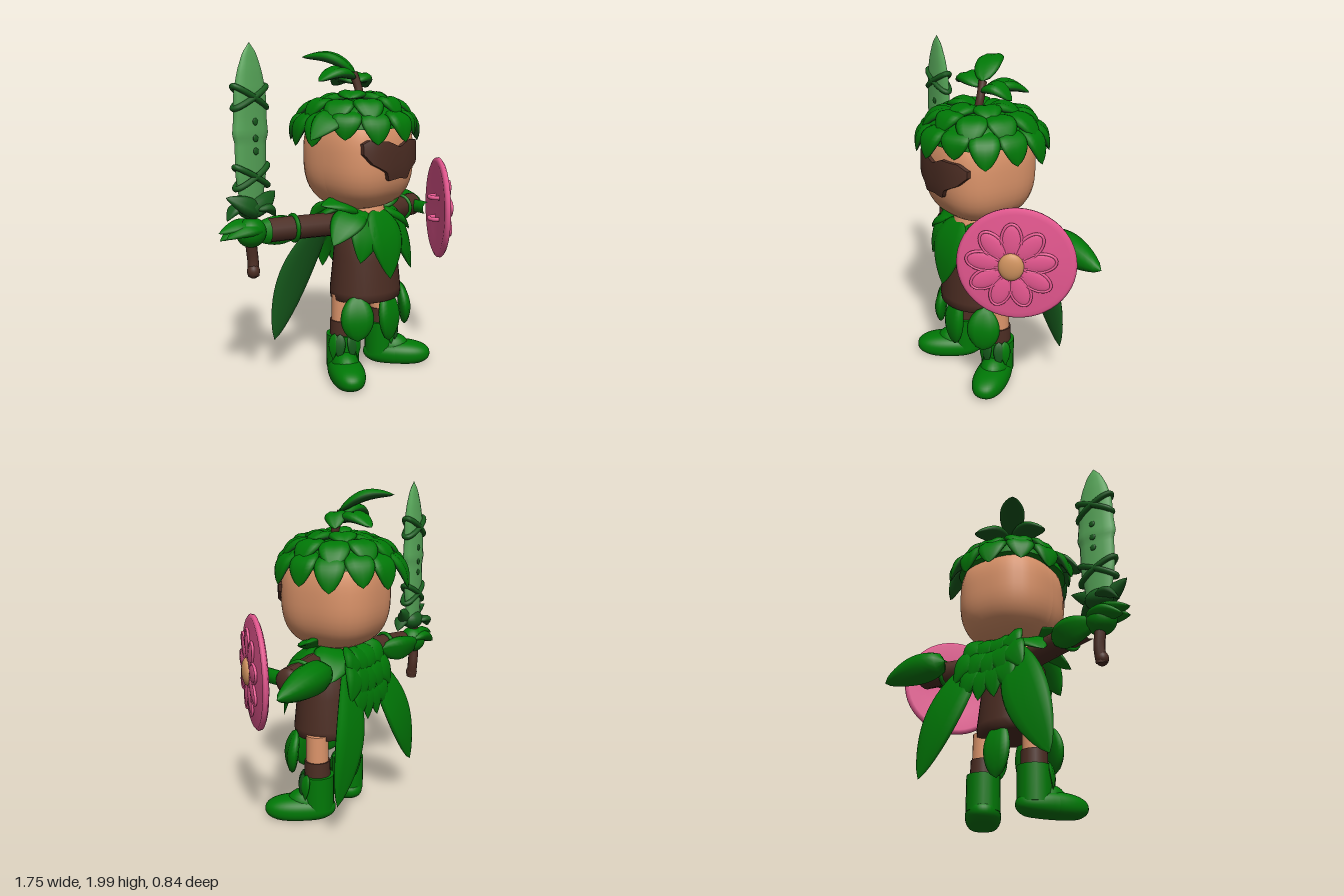
import * as THREE from 'three';

const mat = (name, color) => {
  const m = new THREE.MeshStandardMaterial({ color });
  m.name = name;
  return m;
};
const V = (p) => new THREE.Vector3(...p);

export function createModel() {
  const root = new THREE.Group();
  root.name = 'leafKnight';
  const green = mat('leaf green', 0x007806);
  const dark = mat('dark leaf green', 0x165a1c);
  const pale = mat('blade green', 0x58a85a);
  const brown = mat('bark brown', 0x4c2d23);
  const skin = mat('skin', 0xdc946a);
  const pink = mat('petal pink', 0xec5a94);
  const tan = mat('flower centre', 0xd0935f);

  const add = (name, geo, m, parent = root) => {
    const mesh = new THREE.Mesh(geo, m);
    mesh.name = name;
    parent.add(mesh);
    return mesh;
  };
  const group = (name, parent = root) => {
    const g = new THREE.Group();
    g.name = name;
    parent.add(g);
    return g;
  };
  const ball = (name, p, s, m, parent) => {
    const b = add(name, new THREE.SphereGeometry(1, 20, 14), m, parent);
    b.position.set(...p);
    b.scale.set(...s);
    return b;
  };
  const tube = (name, pts, r, m, parent, closed = false) =>
    add(name, new THREE.TubeGeometry(new THREE.CatmullRomCurve3(pts.map(V), closed), closed ? 40 : 16, r, 10, closed), m, parent);

  // Sphere squared off by exponent p, cut flat below the given floor
  const block = (s, p, floor = -Infinity) => {
    const geo = new THREE.SphereGeometry(1, 40, 28), q = geo.attributes.position;
    for (let i = 0; i < q.count; i++) {
      const v = new THREE.Vector3().fromBufferAttribute(q, i);
      const k = (Math.abs(v.x) ** p + Math.abs(v.y) ** p + Math.abs(v.z) ** p) ** (-1 / p);
      q.setXYZ(i, v.x * k * s[0], Math.max(floor, v.y * k * s[1]), v.z * k * s[2]);
    }
    geo.computeVertexNormals();
    return geo;
  };

  // Leaf from base to tip: lens section with a midrib groove, bowed along its normal
  const leafWidth = (t) => Math.sin(Math.PI * Math.pow(t, 0.75)) ** 0.8;
  const roundWidth = (t) => Math.sin(Math.PI * t) ** 0.55;
  const leaf = (name, base, tip, normal, w, parent, o = {}) => {
    const { th = 0.028, bow = 0.03, m = green, under = m, profile = leafWidth, groove = 0.3, rows = 12 } = o;
    const N = 12, a = V(base), d = V(tip).sub(a), dir = d.clone().normalize();
    const n = V(normal).addScaledVector(dir, -V(normal).dot(dir)).normalize();
    const s = n.clone().cross(dir), pos = [], top = [], bottom = [];
    for (let j = 0; j <= rows; j++) {
      const t = j / rows, k = Math.max(0, profile(t)) || 0;
      for (let i = 0; i < N; i++) {
        const q = (i / N) * Math.PI * 2, mid = i === 3 ? 1 - groove : 1;
        const p = a.clone().addScaledVector(d, t)
          .addScaledVector(n, bow * Math.sin(Math.PI * t) + Math.sin(q) * th * k * mid)
          .addScaledVector(s, Math.cos(q) * w * k);
        pos.push(p.x, p.y, p.z);
        if (j < rows) {
          const A = j * N + i, B = j * N + ((i + 1) % N);
          (i < N / 2 ? top : bottom).push(A, B, B + N, A, B + N, A + N);
        }
      }
    }
    const g = new THREE.BufferGeometry();
    g.setAttribute('position', new THREE.Float32BufferAttribute(pos, 3));
    g.setIndex([...top, ...bottom]);
    g.addGroup(0, top.length, 0);
    g.addGroup(top.length, bottom.length, 1);
    g.computeVertexNormals();
    return add(name, g, [m, under], parent);
  };

  // Head
  const H = { c: [0.02, 1.36, 0], s: [0.296, 0.32, 0.305], p: 2.7 };
  add('head', block(H.s, H.p), skin).position.set(...H.c);

  // Mask wrapped on the face between an upper and a lower outline
  const line = (pts, x) => {
    const i = Math.max(1, pts.findIndex((p) => p[0] >= x - 1e-6));
    const [a, b] = [pts[i - 1], pts[i]];
    return a[1] + ((b[1] - a[1]) * (x - a[0])) / (b[0] - a[0]);
  };
  const upper = [[-0.21, 1.45], [-0.18, 1.47], [-0.07, 1.46], [0.02, 1.425], [0.1, 1.46], [0.21, 1.455], [0.255, 1.42]];
  const lower = [[-0.21, 1.39], [-0.17, 1.335], [-0.08, 1.285], [-0.065, 1.235], [0.02, 1.245], [0.1, 1.235], [0.12, 1.285], [0.21, 1.33], [0.255, 1.38]];
  const maskGeo = new THREE.BoxGeometry(1, 1, 1, 46, 8, 1), mp = maskGeo.attributes.position;
  for (let i = 0; i < mp.count; i++) {
    const x = -0.21 + 0.465 * (mp.getX(i) + 0.5), lo = line(lower, x);
    const y = lo + (line(upper, x) - lo) * (mp.getY(i) + 0.5);
    const r = 1 - Math.abs((x - H.c[0]) / H.s[0]) ** H.p - Math.abs((y - H.c[1]) / H.s[1]) ** H.p;
    mp.setXYZ(i, x, y, H.s[2] * Math.max(r, 0) ** (1 / H.p) + (mp.getZ(i) > 0 ? 0.022 : -0.03));
  }
  maskGeo.computeVertexNormals();
  add('mask', maskGeo, brown);

  // Leaf cap: dome with three overlapping rings, dark beneath
  const cap = group('leafCap');
  add('capDome', block([0.312, 0.195, 0.318], 2.6, 0.03), green, cap).position.set(0.015, 1.5, -0.005);
  const capWidth = (t) => Math.sin(Math.PI * t ** 0.85) ** 0.65;
  for (const [count, r0, y0, r1, y1, w, turn, bow] of [
    [13, 0.24, 1.63, 0.385, 1.44, 0.088, 0.1, 0.045], [10, 0.15, 1.68, 0.345, 1.56, 0.09, 0.2, 0.04], [6, 0.03, 1.69, 0.24, 1.665, 0.085, 0.4, 0.025]]) {
    for (let i = 0; i < count; i++) {
      const a = (i / count) * Math.PI * 2 + turn, c = Math.cos(a), s = Math.sin(a);
      const r = r1 + 0.02 * Math.sin(i * 2.3), y = y1 + 0.02 * s + 0.02 * Math.sin(i * 4.1);
      leaf('capLeaf', [r0 * c + 0.01, y0, r0 * s - 0.02], [r * c + 0.01, y, r * s - 0.03], [c * 0.5, 1, s * 0.5], w, cap, { bow, th: 0.03, under: dark, profile: capWidth });
    }
  }
  leaf('capSideLeaf', [-0.2, 1.62, 0.08], [-0.44, 1.475, 0.07], [-0.4, 1, 0.5], 0.085, cap, { under: dark });

  // Sprout
  const sprout = group('sprout');
  tube('stem', [[0.02, 1.66, 0.02], [0.025, 1.74, 0], [0.01, 1.84, -0.03]], 0.025, brown, sprout);
  for (const [b, t, w] of [
    [[0.01, 1.81, -0.02], [-0.26, 1.79, -0.05], 0.075], [[0.01, 1.79, -0.02], [0.19, 1.75, -0.1], 0.07],
    [[0.02, 1.84, -0.02], [-0.17, 1.93, -0.28], 0.08], [[0.02, 1.78, -0.02], [0.11, 1.76, -0.29], 0.08]])
    leaf('sproutLeaf', b, t, [0, 1, 0.15], w, sprout, { bow: 0.045, th: 0.035, under: dark, profile: capWidth });

  // Tunic and neck
  const tunic = add('tunic', new THREE.LatheGeometry([[0, 0.49], [0.2, 0.49], [0.229, 0.5], [0.232, 0.55], [0.21, 0.75], [0.195, 0.9], [0.14, 1.0], [0, 1.02]]
    .map((p) => new THREE.Vector2(...p)), 32), brown);
  tunic.position.set(0.035, 0, 0.045);
  tunic.scale.z = 0.88;
  add('neck', new THREE.CylinderGeometry(0.11, 0.13, 0.1, 24), skin).position.set(0.025, 1.03, 0.05);

  // Collar
  const collar = group('collar');
  for (const [b, t, n, w] of [
    [[-0.06, 1.04, 0.13], [-0.19, 0.76, 0.21], [-0.3, 0.4, 1], 0.1], [[0.1, 1.04, 0.13], [0.29, 0.64, 0.2], [0.4, 0.4, 1], 0.12],
    [[0.02, 1.06, 0.14], [0.01, 0.64, 0.27], [0, 0.3, 1], 0.145],
    [[-0.06, 1.05, 0.08], [-0.32, 0.87, 0.12], [-0.4, 1, 0.5], 0.1], [[0.1, 1.05, 0.08], [0.36, 0.87, 0.12], [0.4, 1, 0.5], 0.1],
    [[-0.05, 1.03, 0.05], [-0.32, 1.09, 0.02], [0, 1, 0.4], 0.09], [[0.09, 1.03, 0.05], [0.36, 1.1, 0.02], [0, 1, 0.4], 0.09],
    [[-0.05, 1.05, -0.03], [-0.3, 0.9, -0.16], [-0.4, 1, -0.6], 0.12], [[0.09, 1.05, -0.03], [0.34, 0.9, -0.16], [0.4, 1, -0.6], 0.12]])
    leaf('collarLeaf', b, t, n, w, collar);

  // Cape: two long leaves, then shingles on the upper back
  const cape = group('cape');
  for (const [b, t] of [[[-0.06, 1.04, -0.12], [-0.41, 0.23, -0.3]], [[0.11, 1.04, -0.12], [0.47, 0.23, -0.29]]])
    leaf('capeLeaf', b, t, [0, 0.2, -1], 0.142, cape, { under: dark, th: 0.032, bow: 0.065, rows: 20, profile: (u) => Math.sin(Math.PI * u ** 1.1) ** 0.75 });
  for (const [count, y0, y1, span, z] of [[4, 0.92, 0.62, 0.12, -0.2], [5, 1.0, 0.74, 0.17, -0.19], [4, 1.06, 0.86, 0.14, -0.16]])
    for (let i = 0; i < count; i++) {
      const u = (i / (count - 1)) * 2 - 1;
      leaf('capeShingle', [0.025 + u * span * 0.6, y0, z + 0.03], [0.025 + u * span * 1.4, y1 + 0.04 * Math.abs(u), z - 0.06], [0, 0.2, -1], 0.085, cape);
    }

  // Skirt leaves round the hips
  const skirt = group('skirt');
  for (const [x, z, drop, w, nx, nz] of [
    [0.06, 0.21, 0.23, 0.085, 0, 1], [-0.15, 0.16, 0.27, 0.1, -0.8, 1], [0.26, 0.15, 0.27, 0.1, 0.9, 0.9], [0.04, -0.12, 0.21, 0.09, 0, -1]])
    leaf('skirtLeaf', [x, 0.55, z - 0.02 * nz], [x + 0.02 * nx, drop, z + 0.01 * nz], [nx, 0.1, nz], w, skirt, { th: 0.04, bow: 0.015, profile: roundWidth });

  // Legs and boots
  for (const [side, x, toe] of [['right', -0.125, -0.6], ['left', 0.225, 0.62]]) {
    const leg = group(side + 'Leg');
    leg.position.set(x, 0, 0.005);
    leg.rotation.y = toe;
    add('shin', new THREE.CylinderGeometry(0.066, 0.07, 0.26, 20), skin, leg).position.y = 0.4;
    add('legWrap', new THREE.CylinderGeometry(0.077, 0.08, 0.12, 20), brown, leg).position.y = 0.31;
    add('bootShaft', new THREE.CylinderGeometry(0.1, 0.1, 0.21, 20), green, leg).position.y = 0.175;
    const foot = add('foot', block([0.105, 0.08, 0.215], 2.3, -0.055), green, leg);
    foot.position.set(0, 0.065, 0.105);
    ball('instep', [0, 0.1, 0.07], [0.085, 0.09, 0.12], green, leg);
    for (const [a, m] of [[0.8, green], [1.2, dark], [1.94, dark], [2.34, green]]) {
      const c = Math.cos(a), s = Math.sin(a);
      leaf('bootLeaf', [c * 0.09, 0.3, s * 0.09], [c * 0.108, 0.14, s * 0.108], [c, 0, s], 0.034, leg, { th: 0.012, bow: 0.008, m });
    }
  }

  // Right arm and its leafy glove
  const rightArm = group('rightArm');
  tube('sleeve', [[-0.1, 0.96, 0.02], [-0.34, 0.965, -0.06], [-0.58, 0.965, -0.14]], 0.07, brown, rightArm);
  leaf('armLeaf', [-0.33, 0.96, -0.12], [-0.7, 0.95, -0.2], [0, -0.35, -1], 0.085, rightArm, { th: 0.05 });
  const cuff = add('cuff', new THREE.TorusGeometry(0.074, 0.013, 8, 24), green, rightArm);
  cuff.position.set(-0.43, 0.965, -0.09);
  cuff.rotation.y = Math.PI / 2 - 0.32;
  ball('fist', [-0.675, 0.965, -0.17], [0.09, 0.085, 0.08], green, rightArm);
  for (const [dy, dz] of [[0.0, 0.03], [-0.02, -0.04], [0.03, -0.01]])
    leaf('gloveLeaf', [-0.6, 0.98, -0.17 + dz], [-0.88 + Math.abs(dz), 0.95 + dy, -0.2 + dz], [0, 1, 0.4], 0.06, rightArm, { th: 0.035 });

  // Sword
  const sword = group('sword');
  tube('hilt', [[-0.665, 0.71, -0.17], [-0.66, 0.8, -0.18], [-0.67, 0.9, -0.18], [-0.67, 1.1, -0.17]], 0.032, brown, sword);
  ball('pommel', [-0.667, 0.74, -0.17], [0.037, 0.042, 0.037], brown, sword);
  const edge = [[0, 0.6], [0.18, 0.8], [0.22, 0.86], [0.44, 0.9], [0.46, 1.02], [0.56, 0.94], [0.72, 0.9], [0.84, 0.68], [0.94, 0.38], [1, 0]];
  leaf('blade', [-0.67, 1.08, -0.17], [-0.67, 2.0, -0.155], [0, 0, 1], 0.123, sword, { m: pale, th: 0.042, bow: 0, groove: 0.15, rows: 40, profile: (t) => line(edge, t) });
  for (const y of [1.28, 1.71])
    for (const tilt of [-1, 1]) {
      const pts = [];
      for (let i = 0; i < 16; i++) {
        const a = (i / 16) * Math.PI * 2;
        pts.push([-0.67 + 0.11 * Math.cos(a), y + tilt * 0.06 * Math.cos(a), -0.163 + 0.043 * Math.sin(a)]);
      }
      tube('bladeVine', pts, 0.017, dark, sword, true);
    }
  for (const y of [1.42, 1.49, 1.58])
    for (const z of [-0.124, -0.203]) ball('bladeSpot', [-0.665, y, z], [0.018, 0.02, 0.006], dark, sword);
  for (const s of [-1, 1]) {
    leaf('guardLeaf', [-0.67 - s * 0.05, 1.06, -0.17], [-0.67 + s * 0.175, 1.18, -0.17], [0, 0.3, 1], 0.055, sword, { m: dark, th: 0.045 });
    leaf('guardLeaf', [-0.67, 1.1, -0.17 + s * 0.05], [-0.67 + s * 0.14, 1.04, -0.17 + s * 0.04], [0, 1, 0], 0.05, sword, { m: dark });
  }
  ball('guardKnot', [-0.67, 1.1, -0.17], [0.085, 0.06, 0.06], dark, sword);

  // Left arm with its big elbow leaf
  const leftArm = group('leftArm');
  tube('sleeve', [[0.15, 0.96, 0.03], [0.4, 0.97, -0.04], [0.63, 0.97, -0.08]], 0.075, brown, leftArm);
  ball('elbow', [0.63, 0.97, -0.08], [0.04, 0.075, 0.075], brown, leftArm);
  const band = add('armBand', new THREE.TorusGeometry(0.076, 0.014, 8, 24), green, leftArm);
  band.position.set(0.49, 0.97, -0.06);
  band.rotation.y = Math.PI / 2 + 0.2;
  tube('forearm', [[0.6, 0.97, -0.06], [0.59, 0.97, 0.03], [0.57, 0.97, 0.11]], 0.042, green, leftArm);
  leaf('elbowLeaf', [0.4, 0.99, -0.18], [0.88, 0.95, -0.19], [0, 1, -0.4], 0.088, leftArm, { th: 0.098, bow: 0.01, groove: 0.1, profile: (t) => Math.sin(Math.PI * t ** 0.65) ** 0.65 });

  // Flower shield
  const shield = group('shield');
  shield.position.set(0.6, 0.98, 0.17);
  shield.rotation.y = Math.atan2(0.75, 0.66);
  const disc = add('shieldDisc', new THREE.LatheGeometry([[0, 0], [0.2, -0.01], [0.3, -0.022], [0.322, -0.012], [0.325, 0.004], [0.31, 0.016], [0.29, 0.012], [0.2, 0.026], [0, 0.036]]
    .map((p) => new THREE.Vector2(...p)), 48), pink, shield);
  disc.rotation.x = Math.PI / 2;
  const flower = group('flower', shield);
  flower.position.set(-0.026, 0, 0.008);
  for (let i = 0; i < 9; i++) {
    const petal = group('petal', flower);
    petal.rotation.z = (i / 9) * Math.PI * 2 + Math.PI / 2;
    ball('petalFace', [0.15, 0, 0.022], [0.095, 0.054, 0.014], pink, petal);
    const pts = [];
    for (let k = 0; k < 12; k++) pts.push([0.15 + 0.095 * Math.cos(k * Math.PI / 6), 0.054 * Math.sin(k * Math.PI / 6), 0.024]);
    tube('petalRim', pts, 0.008, pink, petal, true);
  }
  ball('flowerCentre', [0, 0, 0.03], [0.07, 0.08, 0.03], tan, flower);
  for (const y of [-0.07, 0.07])
    tube('shieldStrap', [[-0.06, y, 0], [-0.03, y, -0.05], [0.03, y, -0.05], [0.06, y, 0]], 0.014, pink, shield);

  return root;
}
